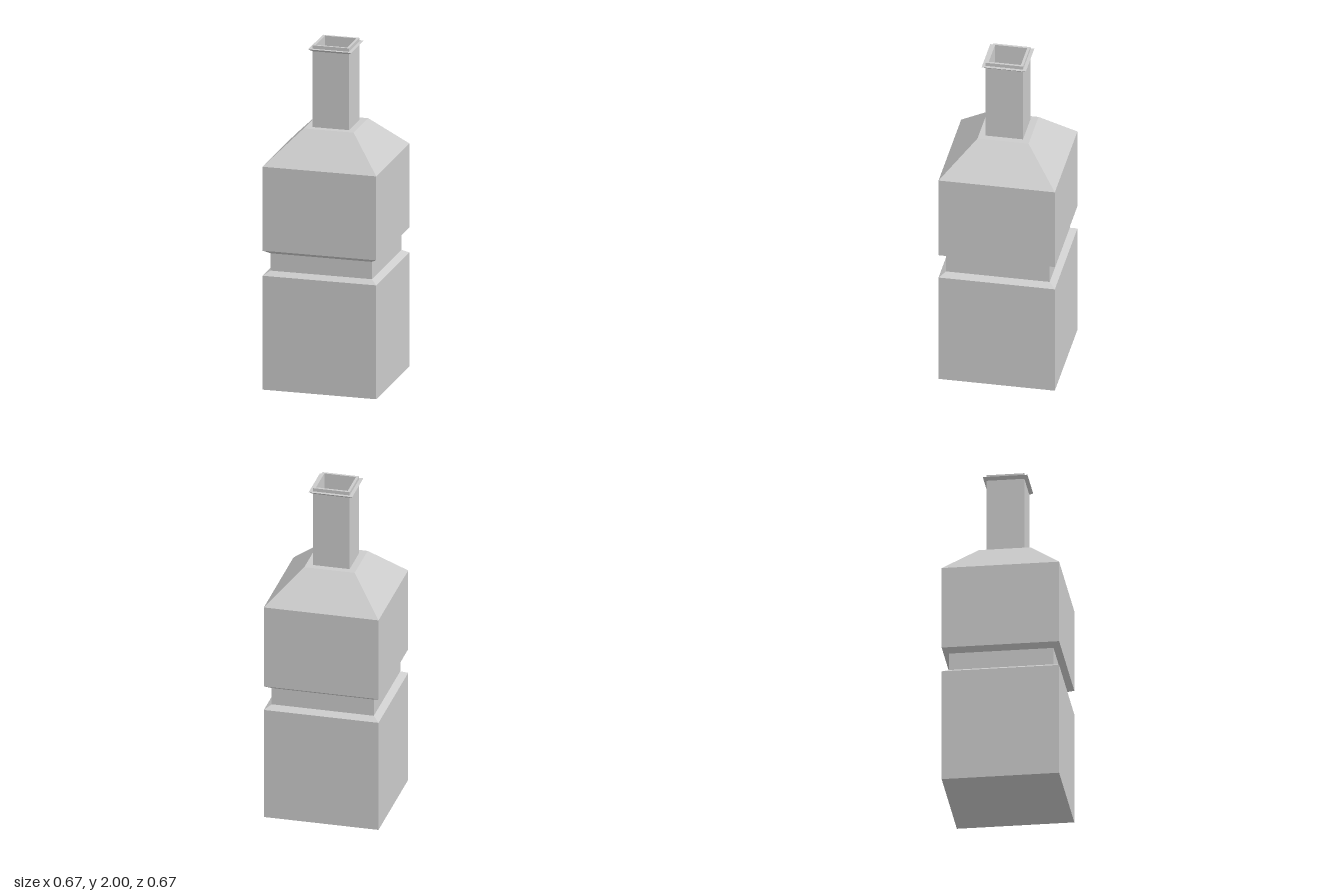
import * as THREE from 'three';

// Square-section solid from a profile of [half width, height] points
function squareLathe(name, profile, color) {
  const points = profile.map(([h, y]) => new THREE.Vector2(h * Math.SQRT2, y));
  const geometry = new THREE.LatheGeometry(points, 4, Math.PI / 4).toNonIndexed();
  geometry.computeVertexNormals();
  const material = new THREE.MeshStandardMaterial({ color, flatShading: true });
  const mesh = new THREE.Mesh(geometry, material);
  mesh.name = name;
  return mesh;
}

export function createModel() {
  const model = new THREE.Group();
  model.name = 'squareBottle';

  // Bottle wall: up the outside, over the rim, down the inside
  model.add(squareLathe('bottle', [
    [0, 0], [0.337, 0],
    [0.337, 0.677], [0.3, 0.7], [0.3, 0.803], [0.337, 0.826], // waist groove
    [0.337, 1.325], [0.148, 1.514], [0.108, 1.514],           // shoulder
    [0.108, 1.965], [0.128, 1.98], [0.108, 1.98],             // neck flange
    [0.108, 2], [0.093, 2],                                   // rim
    [0.093, 1.499], [0.142, 1.499], [0.322, 1.319],           // inner wall
    [0.322, 0.835], [0.285, 0.812], [0.285, 0.691], [0.322, 0.668],
    [0.322, 0.015], [0, 0.015],
  ], 0xcccccc));

  // Liquid filling the body
  model.add(squareLathe('liquid', [
    [0, 0.02], [0.318, 0.02],
    [0.318, 0.665], [0.281, 0.688], [0.281, 0.815], [0.318, 0.838],
    [0.318, 1.25], [0, 1.25],
  ], 0xe8dc50));

  return model;
}
